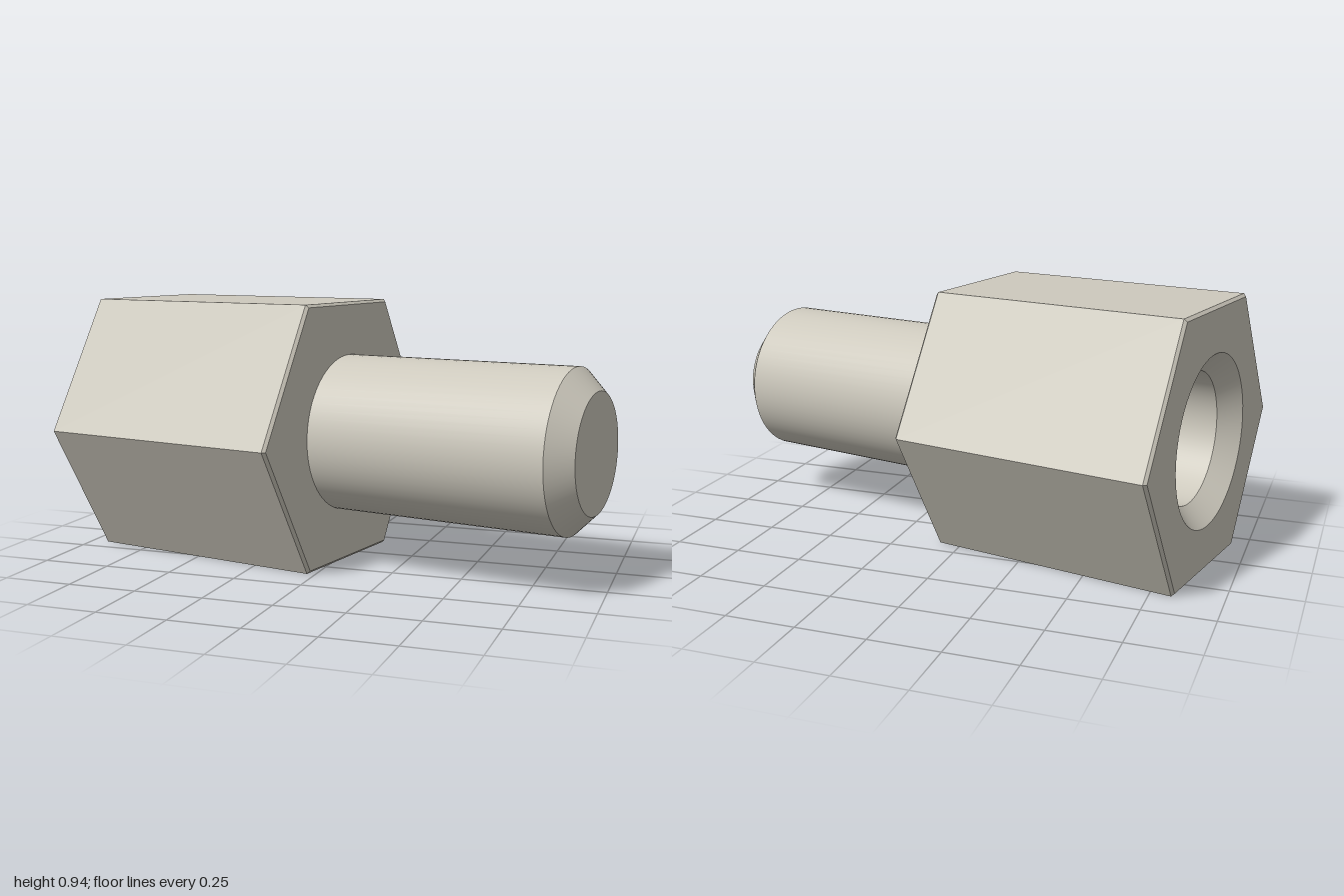
import * as THREE from 'three';

// Hexagonal standoff: built along +y, then laid down along +x and turned.
const APOTHEM = 0.472, CORNER = APOTHEM / Math.cos(Math.PI / 6);
const LENGTH = 0.944, TIP = 1.887, STUD_R = 0.283, TIP_R = 0.207;
const BORE_R = 0.237, SINK_R = 0.308, SINK_DEPTH = 0.071, BORE_DEPTH = 0.76;
const CHAMFER = 0.01, FACE_R = CORNER - CHAMFER / Math.cos(Math.PI / 6);

export function createModel() {
  const metal = new THREE.MeshStandardMaterial({ color: 0xcdc9bd });
  metal.name = 'warm grey metal';

  const model = new THREE.Group();
  model.name = 'standoff';
  const axis = new THREE.Group();
  axis.name = 'standoffBody';
  axis.rotation.z = -Math.PI / 2;

  function add(name, geometry) {
    const mesh = new THREE.Mesh(geometry, metal);
    mesh.name = name;
    axis.add(mesh);
  }

  // One revolved band per profile step keeps the rims sharp.
  function bands(names, profile, sides = 64) {
    names.forEach((name, i) => {
      const pts = [profile[i], profile[i + 1]].map(([r, y]) => new THREE.Vector2(r, y));
      let geometry = new THREE.LatheGeometry(pts, sides);
      if (sides === 6) {
        geometry = geometry.toNonIndexed();
        geometry.computeVertexNormals();
      }
      add(name, geometry);
    });
  }

  // Hexagonal end face with a round opening
  function endFace(name, holeRadius, y, dir) {
    const shape = new THREE.Shape();
    for (let i = 0; i < 6; i++) {
      const a = (-i * Math.PI) / 3;
      const x = FACE_R * Math.sin(a), z = FACE_R * Math.cos(a);
      if (i === 0) shape.moveTo(x, z);
      else shape.lineTo(x, z);
    }
    shape.closePath();
    const hole = new THREE.Path();
    hole.absarc(0, 0, holeRadius, 0, Math.PI * 2, true);
    shape.holes.push(hole);
    const geometry = new THREE.ShapeGeometry(shape, 32);
    geometry.rotateX((-dir * Math.PI) / 2);
    geometry.translate(0, y, 0);
    add(name, geometry);
  }

  // Hex body with fine edge chamfers
  bands(['hexRearChamfer', 'hexSides', 'hexFrontChamfer'],
    [[FACE_R, 0], [CORNER, CHAMFER], [CORNER, LENGTH - CHAMFER], [FACE_R, LENGTH]], 6);
  endFace('hexRearFace', SINK_R, 0, -1);
  endFace('hexFrontFace', STUD_R - 0.003, LENGTH, 1);

  // Blind bore with countersink
  bands(['boreBottom', 'boreWall', 'countersink'],
    [[0, BORE_DEPTH], [BORE_R, BORE_DEPTH], [BORE_R, SINK_DEPTH], [SINK_R, 0]]);

  // Stud with chamfered tip
  bands(['stud', 'studChamfer', 'studTip'],
    [[STUD_R, LENGTH], [STUD_R, TIP - (STUD_R - TIP_R)], [TIP_R, TIP], [0, TIP]]);

  model.add(axis);
  model.rotation.y = THREE.MathUtils.degToRad(-11.8);
  model.position.set(-0.889, APOTHEM, -0.0965);

  const root = new THREE.Group();
  root.name = 'hexStandoff';
  root.add(model);
  return root;
}
